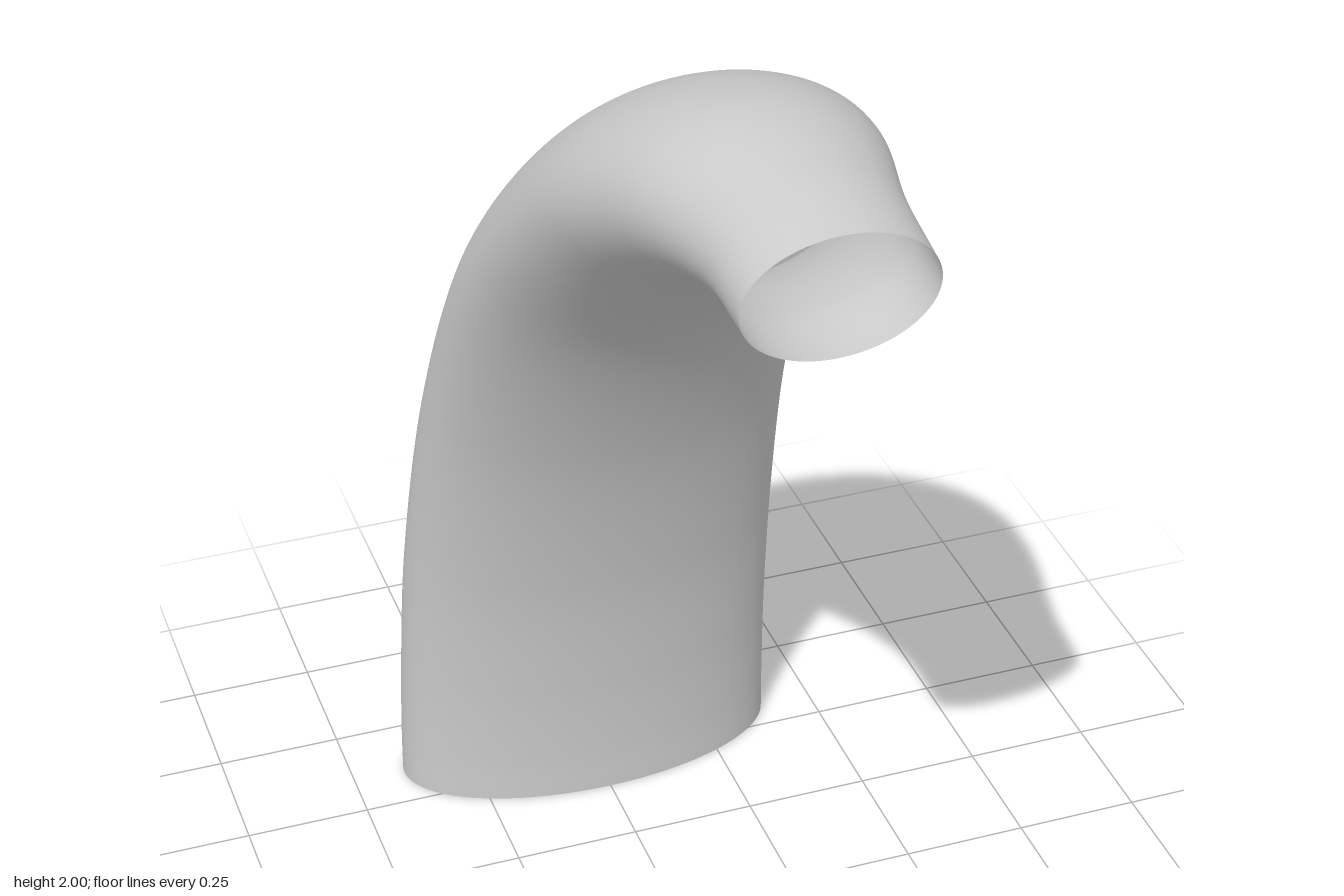
import * as THREE from 'three';
import { ParametricGeometry } from 'three/addons/geometries/ParametricGeometry.js';

// Stations along the spout: centre z, centre y, half width, half depth
const stations = [
  [-0.59, 0, 0.395, 0.18],
  [-0.588, 0.1, 0.394, 0.18],
  [-0.573, 0.3, 0.39, 0.18],
  [-0.526, 0.6, 0.382, 0.18],
  [-0.407, 1.0, 0.363, 0.18],
  [-0.22, 1.36, 0.338, 0.181],
  [0, 1.607, 0.307, 0.18],
  [0.2, 1.757, 0.276, 0.173],
  [0.4, 1.84, 0.23, 0.156],
  [0.6, 1.857, 0.178, 0.128],
  [0.762, 1.838, 0.167, 0.118],
];

export function createModel() {
  const group = new THREE.Group();
  group.name = 'curvedSpout';

  const path = new THREE.CatmullRomCurve3(stations.map(([z, y]) => new THREE.Vector3(0, y, z)));
  const size = new THREE.CatmullRomCurve3(
    stations.map(([, , w, d]) => new THREE.Vector3(w, d, 0)), false, 'catmullrom');

  const centre = new THREE.Vector3();
  const tangent = new THREE.Vector3();
  const radii = new THREE.Vector3();

  // Elliptical sections, each square to the arching centre line
  const surface = (u, v, target) => {
    const angle = -u * Math.PI * 2;
    path.getPoint(v, centre);
    path.getTangent(v, tangent);
    size.getPoint(v, radii);
    const across = Math.sin(angle) * radii.y;
    target.set(
      Math.cos(angle) * radii.x,
      centre.y - tangent.z * across,
      centre.z + tangent.y * across);
  };

  // Thin open shell, flattened at the base and narrowing to the mouth
  const shell = new THREE.Mesh(
    new ParametricGeometry(surface, 96, 100),
    new THREE.MeshStandardMaterial({ color: 0xcccccc, side: THREE.DoubleSide }));
  shell.name = 'spoutShell';
  group.add(shell);
  return group;
}
